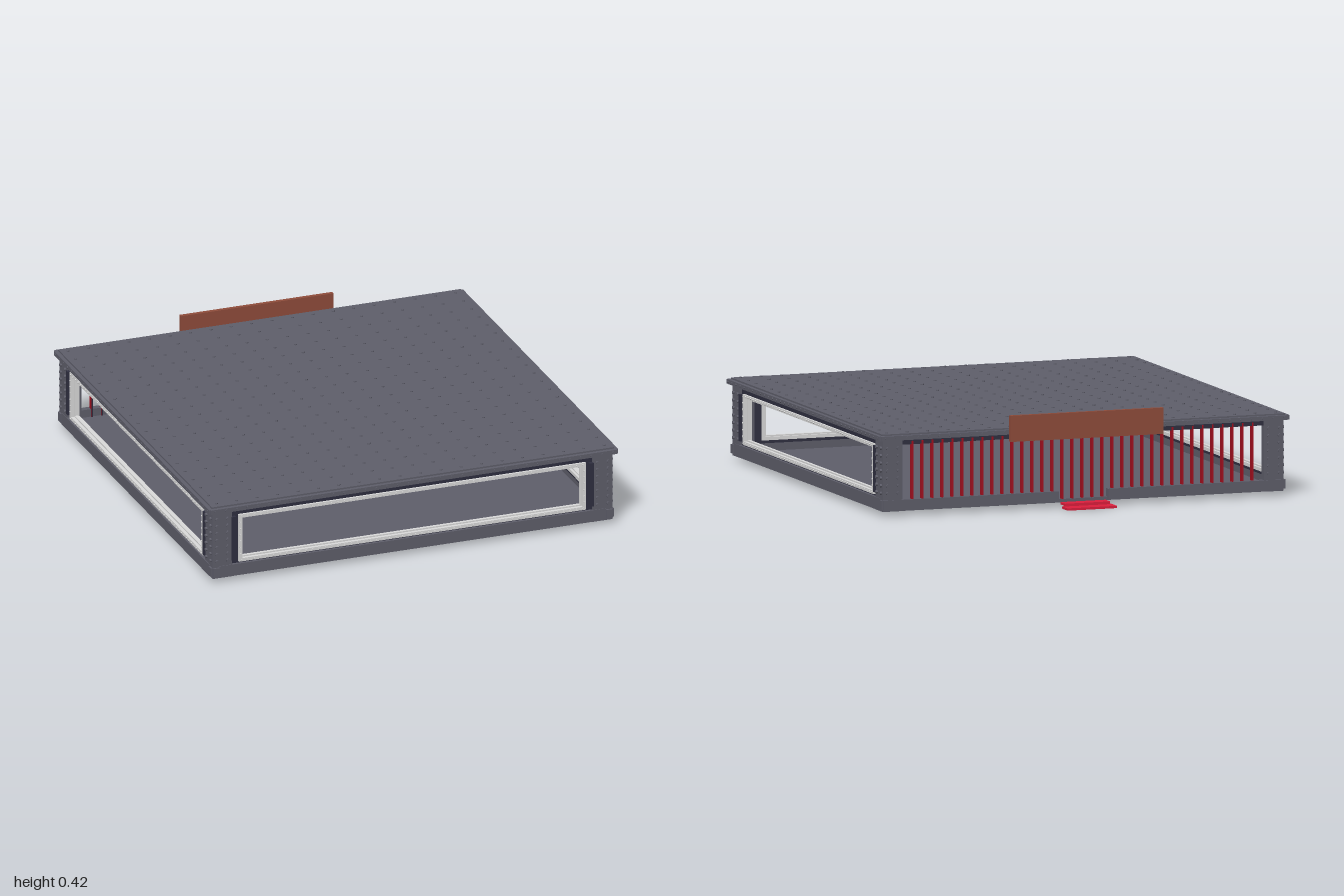
import * as THREE from 'three';
import { mergeGeometries } from 'three/addons/utils/BufferGeometryUtils.js';

const mat = (name, color) => {
  const m = new THREE.MeshStandardMaterial({ color, flatShading: true });
  m.name = name;
  return m;
};

export function createModel() {
  const slate = mat('slate', 0x5e5e6a);
  const dark = mat('dark trim', 0x2f2f40);
  const pale = mat('pale frame', 0xdadada);
  const red = mat('step red', 0xdc1e3c);
  const barRed = mat('bar red', 0xa30f1e);
  const brown = mat('sign brown', 0x8f4c3b);

  const model = new THREE.Group();
  const CZ = 0.0425; // centre of the square building
  const HALF = 0.93; // distance from centre to wall face
  const body = new THREE.Group();
  body.name = 'building';
  body.position.z = CZ;
  model.add(body);

  // Box given by its minimum and maximum corners
  const boxGeo = (x0, x1, y0, y1, z0, z1) =>
    new THREE.BoxGeometry(x1 - x0, y1 - y0, z1 - z0)
      .translate((x0 + x1) / 2, (y0 + y1) / 2, (z0 + z1) / 2);
  const add = (parent, name, geo, material) => {
    const mesh = new THREE.Mesh(geo, material);
    mesh.name = name;
    parent.add(mesh);
    return mesh;
  };
  const box = (parent, name, material, ...b) => add(parent, name, boxGeo(...b), material);

  // Rectangular ring with a hole, extruded along z
  const ring = (w, y0, y1, iw, iy0, iy1, z0, z1) => {
    const rect = (T, a, b, c) => new T([[-a, b], [a, b], [a, c], [-a, c]].map(p => new THREE.Vector2(...p)));
    const s = rect(THREE.Shape, w, y0, y1);
    s.holes.push(rect(THREE.Path, iw, iy0, iy1));
    return new THREE.ExtrudeGeometry(s, { depth: z1 - z0, bevelEnabled: false }).translate(0, 0, z0);
  };

  // Flat-topped rivets pointing along +z at the given [x, y] points
  const rivets = (points, z, r, h) => mergeGeometries(points.map(([x, y]) =>
    new THREE.CylinderGeometry(r, r, h, 8).rotateX(Math.PI / 2).translate(x, y, z + h / 2)));

  // Floor and roof
  box(body, 'floor', slate, -0.925, 0.925, 0.02, 0.035, -0.925, 0.925);
  box(body, 'roof', slate, -0.935, 0.935, 0.332, 0.361, -0.935, 0.935);
  const grid = [];
  for (let i = 0; i < 20; i++) {
    for (let j = 0; j < 20; j++) grid.push([(i - 9.5) * 0.095, (j - 9.5) * 0.095]);
  }
  add(body, 'roofRivets', rivets(grid, 0.361, 0.007, 0.005).rotateX(-Math.PI / 2), slate);

  // One wall, facing +z, turned into place
  const wall = (name, angle, windowed) => {
    const g = new THREE.Group();
    g.name = name;
    g.rotation.y = angle;
    body.add(g);

    box(g, 'cornice', slate, -0.945, 0.945, 0.334, 0.354, 0.93, 0.952);
    const edge = [];
    for (let i = 0; i < 38; i++) edge.push([(i - 18.5) * 0.05, 0.344]);
    add(g, 'corniceRivets', rivets(edge, 0.952, 0.005, 0.004), slate);

    for (const s of [-1, 1]) {
      // Corner post with two columns of rivets
      const [a, b] = s < 0 ? [-HALF, -0.84] : [0.84, HALF];
      box(g, 'cornerPost', slate, a, b, 0.02, 0.334, 0.9, HALF);
      const [c, d] = s < 0 ? [-HALF, -0.9] : [0.9, HALF];
      box(g, 'cornerFoot', slate, c, d, 0.03, 0.07, 0.925, 0.938);
      const pts = [];
      for (let k = 0; k < 7; k++) pts.push([s * 0.86, 0.1 + k * 0.033], [s * 0.91, 0.1 + k * 0.033]);
      add(g, 'postRivets', rivets(pts, HALF, 0.007, 0.008), slate);
    }

    if (windowed) {
      box(g, 'baseRail', slate, -0.9, 0.9, 0.022, 0.076, 0.905, 0.933);
      add(g, 'darkSurround', ring(0.84, 0.07, 0.334, 0.808, 0.083, 0.305, 0.895, 0.92), dark);
      for (const s of [-1, 1]) {
        const x = s * 0.832;
        box(g, 'darkJamb', dark, x - 0.01, x + 0.01, 0.095, 0.3, 0.92, 0.935);
      }
      // Pale frame with a recessed inner step and studs all round
      add(g, 'windowFrame', ring(0.808, 0.083, 0.305, 0.792, 0.098, 0.289, 0.89, 0.93), pale);
      add(g, 'windowBead', ring(0.792, 0.098, 0.289, 0.786, 0.104, 0.283, 0.9, 0.915), pale);
      const studs = [];
      for (let i = 0; i < 54; i++) {
        const x = (i - 26.5) * 0.03;
        studs.push([x, 0.09], [x, 0.297]);
      }
      for (let j = 1; j < 7; j++) studs.push([-0.8, 0.09 + j * 0.0296], [0.8, 0.09 + j * 0.0296]);
      add(g, 'frameStuds', rivets(studs, 0.93, 0.004, 0.004), pale);
    } else {
      // Barred side with a gap in the base rail for the entrance
      box(g, 'header', dark, -0.84, 0.84, 0.31, 0.334, 0.9, 0.92);
      for (const s of [-1, 1]) {
        const [a, b] = s < 0 ? [-0.9, -0.115] : [0.115, 0.9];
        box(g, 'baseRail', slate, a, b, 0.022, 0.07, 0.905, 0.933);
      }
      const outer = [], inner = [];
      for (let i = 0; i < 35; i++) {
        const x = (i - 17) * 0.0465;
        outer.push(boxGeo(x - 0.004, x + 0.004, 0.03, 0.325, 0.9, 0.922));
        inner.push(boxGeo(x - 0.002, x + 0.002, 0.03, 0.325, 0.897, 0.9));
      }
      add(g, 'bars', mergeGeometries(outer), barRed);
      add(g, 'barBacks', mergeGeometries(inner), dark);
    }
  };
  wall('frontWall', 0, true);
  wall('leftWall', Math.PI / 2, true);
  wall('rightWall', -Math.PI / 2, true);
  wall('backWall', Math.PI, false);

  // Sign board and entrance steps at the back
  box(model, 'signBoard', brown, -0.355, 0.355, 0.305, 0.42, -0.935, -0.917);
  box(model, 'signBracket', brown, -0.35, 0.35, 0.338, 0.35, -0.918, -0.905);
  box(model, 'upperStep', red, -0.105, 0.105, 0.012, 0.022, -0.94, -0.885);
  box(model, 'lowerStep', red, -0.115, 0.115, 0, 0.01, -1, -0.93);
  box(model, 'stepRiser', red, -0.105, 0.105, 0.004, 0.014, -0.94, -0.93);
  return model;
}
